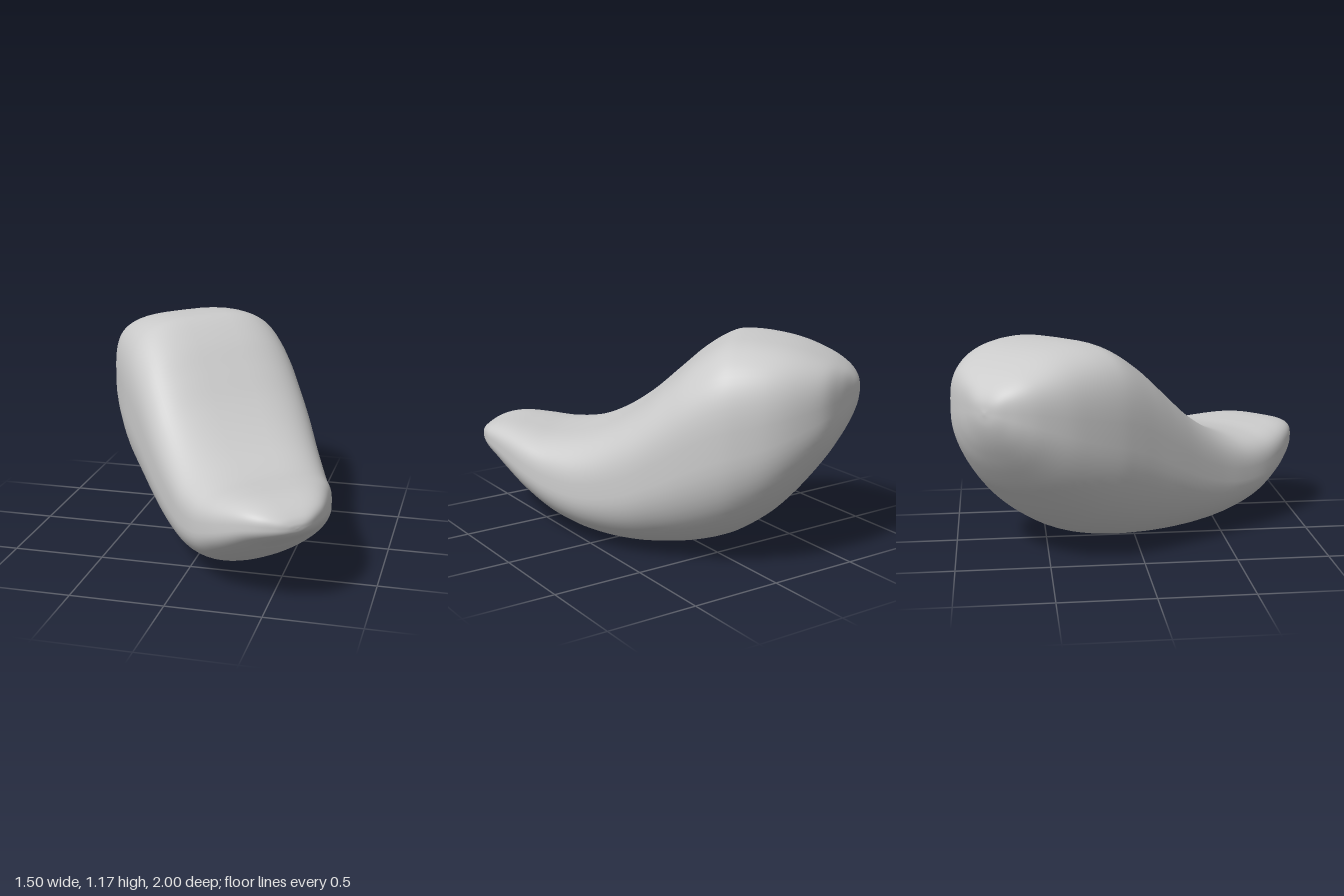
import * as THREE from 'three';
import { mergeVertices } from 'three/addons/utils/BufferGeometryUtils.js';

// Upright slices along the bent body: [distance along bend, top, bottom, right edge, left edge]
const SLICES = [
  [-1.07, 0.88, 0.88, 0.1, 0.1],
  [-1.06, 0.94, 0.81, 0.03, 0.18],
  [-1.03, 0.99, 0.73, -0.025, 0.27],
  [-0.98, 1.035, 0.64, -0.085, 0.39],
  [-0.905, 1.08, 0.53, -0.145, 0.515],
  [-0.78, 1.13, 0.375, -0.215, 0.62],
  [-0.65, 1.16, 0.245, -0.265, 0.685],
  [-0.5, 1.172, 0.14, -0.31, 0.717],
  [-0.38, 1.155, 0.083, -0.335, 0.72],
  [-0.23, 1.06, 0.04, -0.36, 0.7],
  [-0.08, 0.925, 0.015, -0.385, 0.665],
  [0.08, 0.78, 0.002, -0.41, 0.617],
  [0.25, 0.66, 0.005, -0.437, 0.545],
  [0.42, 0.58, 0.03, -0.465, 0.465],
  [0.6, 0.55, 0.085, -0.485, 0.365],
  [0.76, 0.555, 0.175, -0.48, 0.268],
  [0.88, 0.56, 0.255, -0.455, 0.17],
  [0.97, 0.553, 0.323, -0.42, 0.09],
  [1.04, 0.533, 0.37, -0.37, 0.015],
  [1.09, 0.505, 0.405, -0.305, -0.07],
  [1.112, 0.478, 0.43, -0.25, -0.135],
  [1.117, 0.455, 0.455, -0.195, -0.195],
];
const HEADING = Math.PI / 4; // turn of the bend away from z
const FLAT_TOP = 3.4, ROUND_BELLY = 2.15; // superellipse exponents of each slice
const RINGS = 126, SIDES = 64;

const spline = (pick) =>
  new THREE.CatmullRomCurve3(SLICES.map(pick), false, 'catmullrom', 0.5);

const squircle = (v, n) => Math.sign(v) * Math.abs(v) ** (2 / n);

function bodyGeometry() {
  const heights = spline(([u, top, bottom]) => new THREE.Vector3(u, top, bottom));
  const widths = spline(([u, , , right, left]) => new THREE.Vector3(u, right, left));
  const positions = [], index = [];

  for (let i = 0; i <= RINGS; i++) {
    const { x: u, y: top, z: bottom } = heights.getPoint(i / RINGS);
    const { y: right, z: left } = widths.getPoint(i / RINGS);
    for (let j = 0; j < SIDES; j++) {
      const a = (j / SIDES) * Math.PI * 2;
      const n = j < SIDES / 2 ? FLAT_TOP : ROUND_BELLY;
      const w = (left + right) / 2 + ((left - right) / 2) * squircle(Math.cos(a), n);
      const y = (top + bottom) / 2 + ((top - bottom) / 2) * squircle(Math.sin(a), n);
      positions.push(w, y, u);
      if (i === RINGS) continue;
      const p = i * SIDES + j, q = i * SIDES + ((j + 1) % SIDES);
      // The end rings shrink to a point and need one triangle per side
      if (i > 0) index.push(p, q, q + SIDES);
      if (i < RINGS - 1) index.push(p, q + SIDES, p + SIDES);
    }
  }

  const geometry = new THREE.BufferGeometry();
  geometry.setAttribute('position', new THREE.Float32BufferAttribute(positions, 3));
  geometry.setIndex(index);
  geometry.rotateY(HEADING);
  const merged = mergeVertices(geometry, 1e-5);
  merged.computeVertexNormals();
  return merged;
}

export function createModel() {
  const model = new THREE.Group();
  model.name = 'bentBean';
  const body = new THREE.Mesh(
    bodyGeometry(),
    new THREE.MeshStandardMaterial({ color: 0xcccccc })
  );
  body.name = 'body';
  model.add(body);

  // Rest on the ground, centred
  const box = new THREE.Box3().setFromObject(model);
  const centre = box.getCenter(new THREE.Vector3());
  body.position.set(-centre.x, -box.min.y, -centre.z);
  return model;
}
